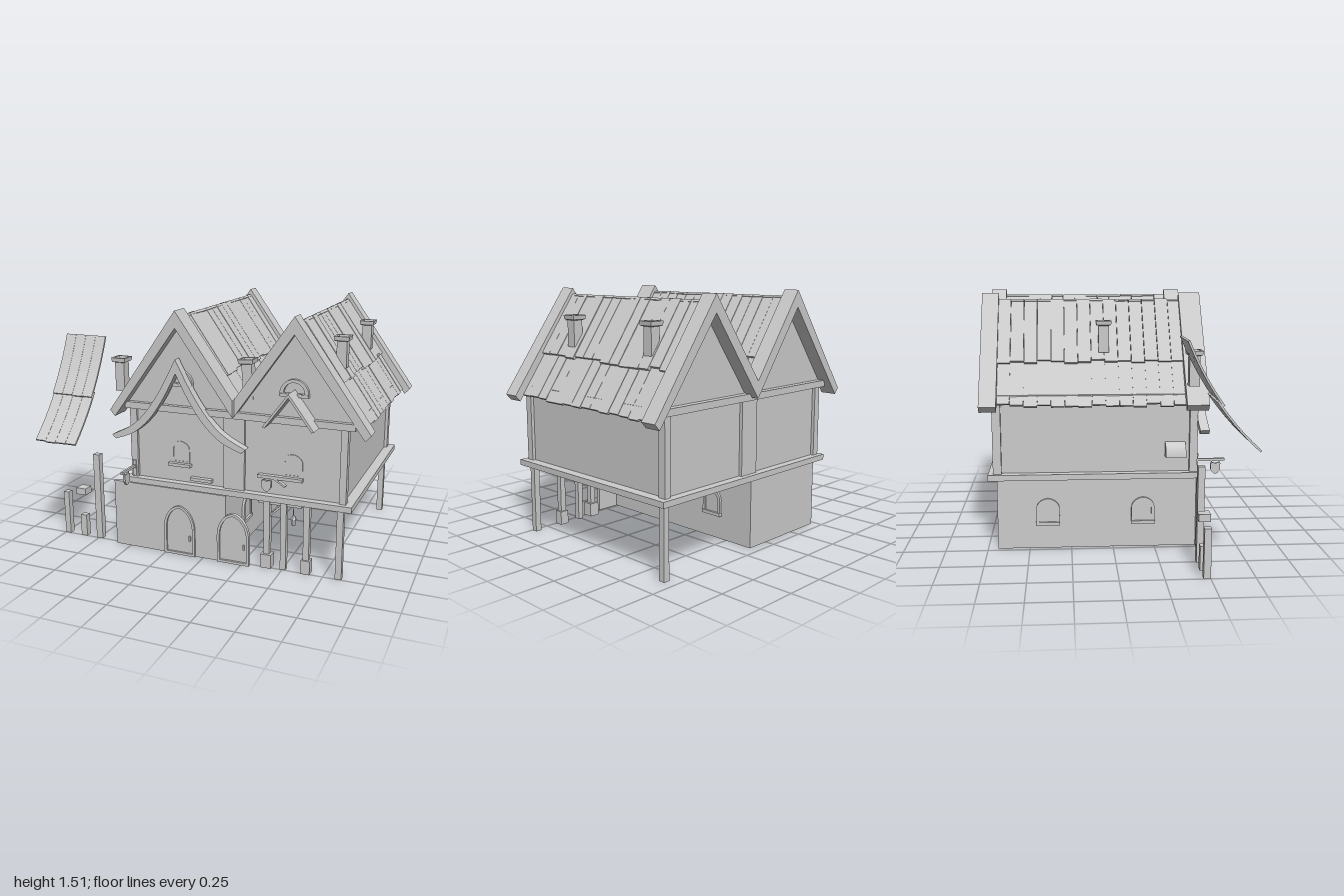
import * as THREE from 'three';

const mat = new THREE.MeshStandardMaterial({ color: 0xcccccc, flatShading: true, side: THREE.DoubleSide });

export function createModel() {
  const root = new THREE.Group();
  root.name = 'timberHouse';
  let seed = 7;
  const rnd = () => (seed = (seed * 16807) % 2147483647) / 2147483647;

  const add = (name, geo, parent = root) => {
    const m = new THREE.Mesh(geo, mat);
    m.name = name;
    parent.add(m);
    return m;
  };
  // Box given by its limits on each axis
  const box = (name, x0, x1, y0, y1, z0, z1, parent) =>
    add(name, new THREE.BoxGeometry(x1 - x0, y1 - y0, z1 - z0)
      .translate((x0 + x1) / 2, (y0 + y1) / 2, (z0 + z1) / 2), parent);
  const poly = pts => new THREE.Shape(pts.map(p => new THREE.Vector2(...p)));
  const extrude = (shape, z0, z1) =>
    new THREE.ExtrudeGeometry(shape, { depth: z1 - z0, bevelEnabled: false, curveSegments: 10 }).translate(0, 0, z0);

  // Outline with straight sides and an arched, slightly pointed head
  const archShape = (w, h, spring, inset = 0) => {
    const a = w / 2 - inset, top = h - inset;
    const s = new THREE.Shape();
    s.moveTo(-a, inset).lineTo(a, inset);
    s.lineTo(a, spring);
    s.bezierCurveTo(a, spring + (top - spring) * 0.6, a * 0.45, top * 0.99, 0, top);
    s.bezierCurveTo(-a * 0.45, top * 0.99, -a, spring + (top - spring) * 0.6, -a, spring);
    s.closePath();
    return s;
  };
  const archOpening = (name, w, h, spring, band, depth) => {
    const g = new THREE.Group();
    g.name = name;
    const frame = archShape(w, h, spring);
    frame.holes.push(archShape(w, h, spring, band));
    add('frame', extrude(frame, 0, depth), g);
    add('panel', extrude(archShape(w, h, spring, band), 0, depth * 0.45), g);
    root.add(g);
    return g;
  };

  // Ground floor and front facing wall
  box('groundFloor', -0.47, 0.15, 0, 0.43, -0.69, 0.505);
  box('frontWall', -0.6, 0.15, 0, 0.425, 0.5, 0.525);

  // Floor platform, upper storey and its timber frame
  box('floorPlatform', -0.51, 0.91, 0.43, 0.465, -0.74, 0.53);
  box('upperStorey', -0.46, 0.85, 0.465, 0.92, -0.69, 0.485);
  for (const [x0, x1] of [[-0.485, -0.44], [0.13, 0.26], [0.83, 0.87]])
    for (const [z0, z1] of [[-0.71, -0.66], [0.455, 0.502]])
      box('timberPost', x0, x1, 0.465, 0.9, z0, z1);
  box('frontTopBeam', -0.51, 0.91, 0.9, 0.94, 0.45, 0.515);
  box('backTopBeam', -0.51, 0.91, 0.9, 0.94, -0.73, -0.66);
  for (const x of [-0.51, 0.86]) box('sideTopBeam', x, x + 0.05, 0.9, 0.94, -0.7, 0.48);

  // Twin gabled roof: infill, tile rows and barge boards
  const RIDGES = [-0.15, 0.555], SLOPE = 1.4, VALLEY = 0.3525;
  const tileRow = (cx, dir, from, to, lift, group) => {
    const cols = 14, z0 = -0.68, w = 1.11 / cols;
    const ang = Math.atan(1.43);
    for (let i = 0; i < cols; i++) {
      const end = to + (rnd() - 0.5) * 0.014;
      const len = (end - from) / Math.cos(ang);
      const tile = new THREE.BoxGeometry(len, 0.018, w - 0.002);
      tile.translate(len / 2, lift - 0.012 + rnd() * 0.004, 0).rotateZ(-ang);
      tile.translate(from, 1.472 - from * 1.43, 0);
      if (dir < 0) tile.rotateY(Math.PI);
      tile.translate(cx, 0, z0 + (i + 0.5) * w);
      add('tile', tile, group);
    }
  };
  const barge = (name, cx, left, right, z0, z1) => {
    const leg = (span, s) => span > 0.4
      ? [[cx + s * span, 1.51 - span * SLOPE], [cx + s * (span - 0.032), 1.477 - span * SLOPE - 0.003]]
      : [[cx + s * span, 1.51 - span * SLOPE], [cx + s * span, 1.41 - span * SLOPE]];
    const [ro, ri] = leg(right, 1), [lo, li] = leg(left, -1);
    add(name, extrude(poly([[cx, 1.51], lo, li, [cx, 1.41], ri, ro]), z0, z1));
  };
  RIDGES.forEach((cx, i) => {
    add('gableInfill', extrude(poly([[cx - 0.375, 0.91], [cx + 0.375, 0.91], [cx, 1.44]]), -0.69, 0.485));
    const tiles = new THREE.Group();
    tiles.name = 'roofTiles';
    root.add(tiles);
    for (const dir of [-1, 1]) {
      const outer = (dir < 0) === (i === 0);
      tileRow(cx, dir, 0.2, outer ? 0.405 : 0.37, -0.012, tiles);
      tileRow(cx, dir, 0, 0.245, 0.004, tiles);
    }
    const l = i ? VALLEY : 0.445, r = i ? 0.445 : VALLEY;
    barge('backBargeBoard', cx, l, r, -0.775, -0.675);
    barge('frontBargeBoard', cx, l, r, 0.42, i ? 0.52 : 0.55);
  });

  // Sweeping curved braces on the left gable
  const top = [[0, 1.23], [0.1, 1.045], [0.2, 0.9], [0.3, 0.805], [0.435, 0.735]];
  const low = [[0.41, 0.71], [0.28, 0.765], [0.17, 0.865], [0.08, 0.995], [0, 1.145]];
  for (const s of [-1, 1]) {
    const v = a => a.map(([x, y]) => new THREE.Vector2(-0.15 + s * x, y));
    const pts = [...new THREE.SplineCurve(v(top)).getPoints(16), ...new THREE.SplineCurve(v(low)).getPoints(16)];
    add('curvedBrace', extrude(new THREE.Shape(pts), 0.5, 0.555));
  }

  // Small canopy on the right gable
  for (const s of [-1, 1])
    add('canopySlope', extrude(poly([[0.555, 1.1], [0.555 + s * 0.15, 0.9], [0.555 + s * 0.135, 0.895], [0.555, 1.078]]), 0.48, 0.61));

  // Half-round attic windows
  for (const cx of RIDGES) {
    const arc = new THREE.Shape().absarc(0, 0, 0.085, 0, Math.PI).closePath();
    arc.holes.push(new THREE.Path().absarc(0, 0.004, 0.062, 0, Math.PI).closePath());
    add('atticWindowFrame', extrude(arc, 0.475, 0.505)).position.set(cx, 1.075, 0);
    box('atticWindowSill', cx - 0.085, cx + 0.085, 1.06, 1.077, 0.475, 0.51);
  }

  // Chimneys with flared hollow caps
  const chimney = (x, z, y0, y1, tilt = 0) => {
    const k = Math.SQRT2, h = y1 - y0;
    const pts = [[0.03, 0], [0.03, h - 0.03], [0.043, h - 0.025], [0.046, h], [0.034, h], [0.03, h - 0.03], [0, h - 0.03]];
    const geo = new THREE.LatheGeometry(pts.map(([r, y]) => new THREE.Vector2(r * k, y)), 4).rotateY(Math.PI / 4);
    const m = add('chimney', geo);
    m.position.set(x, y0, z);
    m.rotation.z = tilt;
  };
  chimney(0.74, 0.17, 1.18, 1.365);
  chimney(0.74, -0.48, 1.18, 1.365);
  chimney(-0.345, -0.05, 1.17, 1.357);
  chimney(-0.553, 0.46, 0.995, 1.2);
  chimney(0.278, 0.46, 1.02, 1.25, 0.06);

  // Doors with handles
  for (const x of [-0.153, 0.2]) {
    const door = archOpening('door', 0.205, 0.32, 0.17, 0.016, 0.025);
    door.position.set(x, 0, 0.512);
    box('handle', 0.063, 0.073, 0.1, 0.13, 0.01, 0.025, door);
  }

  // Ground floor side windows
  for (const [x, s] of [[0.15, 1], [-0.47, -1]])
    for (const z of [0.18, -0.39]) {
      const win = archOpening('sideWindow', 0.14, 0.165, 0.1, 0.02, 0.014);
      win.position.set(x, 0.145, z);
      win.rotation.y = s * Math.PI / 2;
      box('sill', -0.072, 0.072, 0, 0.02, 0, 0.02, win);
    }

  // Upper floor windows and sills
  for (const [x, w, y] of [[-0.157, 0.145, 0.565], [-0.015, 0.14, 0.487], [0.48, 0.27, 0.565]])
    box('windowSill', x - w / 2, x + w / 2, y, y + 0.019, 0.48, 0.515);
  for (const x of [-0.157, 0.55])
    archOpening('upperWindow', 0.12, 0.14, 0.09, 0.015, 0.006).position.set(x, 0.58, 0.484);

  // Curved hood over the left side window
  const hood = new THREE.Shape().moveTo(-0.46, 0.56).lineTo(-0.525, 0.56);
  hood.quadraticCurveTo(-0.52, 0.635, -0.46, 0.645);
  add('windowHood', extrude(hood, 0.31, 0.43));

  // Support posts under the overhang
  const post = (x, z, w, h, base) => {
    box('supportPost', x - w / 2, x + w / 2, 0, h, z - w / 2, z + w / 2);
    if (base) box('postBase', x - base / 2, x + base / 2, 0, 0.085, z - base / 2, z + base / 2);
  };
  post(0.4, 0.48, 0.037, 0.43, 0.066);
  post(0.503, 0.48, 0.035, 0.43);
  post(0.643, 0.48, 0.036, 0.43, 0.056);
  post(0.84, 0.48, 0.038, 0.43);
  post(0.84, -0.67, 0.038, 0.43);

  // Bracket with hanging lantern
  box('bracketBar', 0.345, 0.61, 0.4, 0.43, 0.47, 0.49);
  add('bracketStrut', extrude(poly([[0.41, 0.33], [0.42, 0.325], [0.495, 0.395], [0.485, 0.405]]), 0.472, 0.488));
  add('lanternChain', new THREE.CylinderGeometry(0.003, 0.003, 0.06, 5)).position.set(0.56, 0.375, 0.48);
  const lamp = [[0, 0], [0.013, 0], [0.013, 0.035], [0.02, 0.037], [0.008, 0.058], [0, 0.062]];
  add('lantern', new THREE.LatheGeometry(lamp.map(p => new THREE.Vector2(...p)), 6)).position.set(0.56, 0.288, 0.48);

  // Shield signs: one flat on the wall, one hung from a rod
  const shield = [[-0.03, 0.065], [-0.015, 0.07], [0, 0.063], [0.015, 0.07], [0.03, 0.065],
    [0.028, 0.025], [0.012, 0.003], [0, 0], [-0.012, 0.003], [-0.028, 0.025]];
  add('wallShield', extrude(poly(shield.slice().reverse()), 0.5, 0.515)).position.set(0.4, 0.485, 0);
  add('wallBrace', extrude(poly([[0.44, 0.565], [0.46, 0.565], [0.515, 0.53], [0.51, 0.52]]), 0.485, 0.51));
  const sign = add('hangingShield', extrude(poly(shield.slice().reverse()), -0.007, 0.007));
  sign.rotation.y = Math.PI / 2;
  sign.position.set(-0.462, 0.445, 0.615);
  box('signRod', -0.47, -0.455, 0.525, 0.54, 0.49, 0.67);
  box('signMount', -0.472, -0.452, 0.47, 0.57, 0.485, 0.51);
  for (const z of [0.592, 0.638]) box('signHook', -0.465, -0.459, 0.505, 0.53, z - 0.003, z + 0.003);

  // Detached curved tile panel beside the house
  const curve = new THREE.QuadraticBezierCurve(
    new THREE.Vector2(0.35, 1.295), new THREE.Vector2(0.5, 0.94), new THREE.Vector2(0.765, 0.705));
  const panelRow = (t0, t1, lift) => {
    for (let i = 0; i < 4; i++) {
      const end = t1 - rnd() * 0.015, up = [], down = [];
      for (let k = 0; k <= 5; k++) {
        const t = t0 + (end - t0) * k / 5, p = curve.getPoint(t), d = curve.getTangent(t);
        up.push([-p.x + d.y * lift, p.y + d.x * lift]);
        down.unshift([-p.x + d.y * (lift - 0.012), p.y + d.x * (lift - 0.012)]);
      }
      const g = extrude(poly([...up, ...down]), -1 + i * 0.07, -0.931 + i * 0.07);
      add('loosePanelTile', g.rotateY(Math.PI / 2));
    }
  };
  panelRow(0.48, 1, 0);
  panelRow(0, 0.54, 0.012);

  // Spare posts and blocks beside the house
  box('sparePostShort', -1, -0.962, 0, 0.285, 0.46, 0.5);
  box('spareBlock', -0.88, -0.837, 0, 0.142, 0.46, 0.5);
  box('spareCap', -0.893, -0.825, 0.287, 0.33, 0.446, 0.514);
  box('sparePostTall', -0.765, -0.721, 0, 0.567, 0.46, 0.5);

  // The loose panel profile is drawn along -x, so turning it a quarter brings it to +z
  return root;
}
